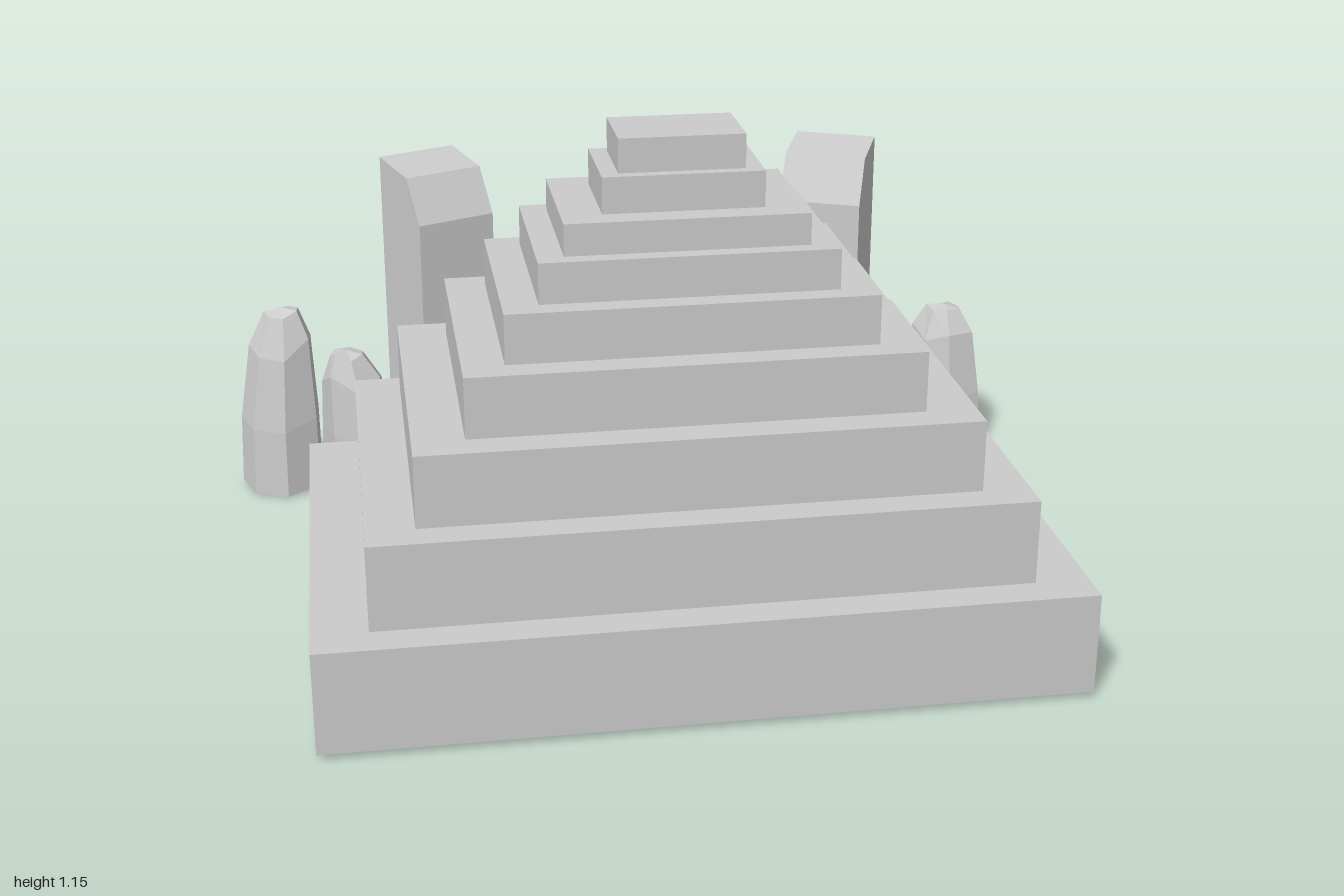
import * as THREE from 'three';

const mat = new THREE.MeshStandardMaterial({ color: 0xcccccc, flatShading: true, side: THREE.DoubleSide });

function add(parent, name, geometry, x = 0, y = 0, z = 0, turn = 0) {
  const mesh = new THREE.Mesh(geometry, mat);
  mesh.name = name;
  mesh.position.set(x, y, z);
  mesh.rotation.y = turn;
  parent.add(mesh);
  return mesh;
}

// Standing stone: side profile with a chamfered front top, extruded across its width
function stoneGeometry(size, height, chamfer) {
  const h = size / 2;
  const shape = new THREE.Shape([
    [-h, 0], [h, 0], [h, height - chamfer * 1.2], [h * 0.4, height - chamfer * 0.2], [-h, height],
  ].map(([d, y]) => new THREE.Vector2(d, y)));
  const geo = new THREE.ExtrudeGeometry(shape, { depth: size, bevelEnabled: false });
  geo.translate(0, 0, -h);
  geo.rotateY(-Math.PI / 2); // profile depth becomes +z
  return geo;
}

function seeded(seed) {
  let s = seed * 7919 + 17;
  return () => (s = (s * 16807) % 2147483647) / 2147483647;
}

// Boulder: a tapering seven-sided lathe, open below, with each ring shifted irregularly
function rockGeometry(seed, radius, height, leanX, leanZ) {
  const rand = seeded(seed);
  rand();
  const sides = 7;
  const rings = [[1, 0], [0.96, 0.38], [0.76, 0.8], [0.42, 0.98], [0, 1]];
  const geo = new THREE.LatheGeometry(
    rings.map(([r, y]) => new THREE.Vector2(r * radius, y * height)), sides, seed);
  const sideScale = Array.from({ length: sides }, () => 0.88 + 0.14 * rand());
  const sideDrop = Array.from({ length: sides }, () => rand() - 0.6);
  const pos = geo.attributes.position;
  for (let i = 0; i < pos.count; i++) {
    const side = Math.floor(i / rings.length) % sides;
    const ring = i % rings.length;
    const t = rings[ring][1];
    const drop = [0.015, 0.05, 0.1, 0.03, 0][ring] * sideDrop[side];
    pos.setXYZ(i,
      pos.getX(i) * sideScale[side] + leanX * t * t,
      pos.getY(i) + (ring === 0 ? drop : drop * height * 1.6),
      pos.getZ(i) * sideScale[side] + leanZ * t * t);
  }
  geo.computeVertexNormals();
  return geo;
}

export function createModel() {
  const model = new THREE.Group();
  model.name = 'steppedPyramidShrine';
  const ground = 0.025;

  // Stepped pyramid: half width, half depth and top height of each tier
  const pyramid = new THREE.Group();
  pyramid.name = 'pyramid';
  model.add(pyramid);
  let base = ground;
  [
    [0.822, 0.535, 0.255], [0.703, 0.458, 0.445], [0.598, 0.388, 0.605],
    [0.487, 0.317, 0.74], [0.397, 0.257, 0.85], [0.32, 0.208, 0.94],
    [0.262, 0.172, 1.01], [0.174, 0.115, 1.09], [0.136, 0.09, 1.165],
  ].forEach(([hx, hz, top], i) => {
    const geo = new THREE.BoxGeometry(hx * 2, top - base, hz * 2);
    if (i === 0) { // the lowest tier is hollow, so drop its underside
      const index = Array.from(geo.index.array);
      index.splice(18, 6);
      geo.setIndex(index);
    }
    add(pyramid, `tier${i + 1}`, geo, 0.006, (base + top) / 2, 0.22);
    base = top;
  });

  // Tall and short standing stones behind the pyramid, turned inward
  const tall = stoneGeometry(0.2, 0.9, 0.105);
  const short = stoneGeometry(0.072, 0.595, 0.04);
  add(model, 'rightTallStone', tall, -0.475, ground, -0.45, 0.43);
  add(model, 'leftTallStone', tall, 0.505, ground, -0.45, -0.42);
  add(model, 'rightShortStone', short, -0.187, ground, -0.452, 0.55);
  add(model, 'leftShortStone', short, 0.2, ground, -0.452, -0.43);

  // Boulder wall: x, z, radius, height, lean x, lean z
  const rocks = new THREE.Group();
  rocks.name = 'boulderWall';
  model.add(rocks);
  [
    [-0.893, -0.64, 0.111, 0.48, 0.02, 0.0],
    [-0.685, -0.66, 0.115, 0.35, -0.03, 0.01],
    [-0.48, -0.645, 0.112, 0.43, 0.01, 0.0],
    [-0.28, -0.645, 0.112, 0.53, 0.0, 0.02],
    [0.285, -0.645, 0.114, 0.55, 0.01, 0.04],
    [0.475, -0.65, 0.11, 0.5, 0.0, 0.02],
    [0.68, -0.655, 0.112, 0.37, 0.0, 0.01],
    [0.897, -0.65, 0.11, 0.39, -0.01, 0.0],
  ].forEach(([x, z, r, h, lx, lz], i) =>
    add(rocks, `boulder${i + 1}`, rockGeometry(i + 1, r, h, lx, lz), x, 0.02, z));

  // Gate between the boulders: posts, thin panel and sagging ropes
  const gate = new THREE.Group();
  gate.name = 'gate';
  gate.position.set(-0.004, 0, -0.665);
  model.add(gate);
  for (const side of [-1, 1]) {
    add(gate, side > 0 ? 'leftGatePost' : 'rightGatePost',
      new THREE.CylinderGeometry(0.012, 0.012, 0.3, 8), side * 0.168, 0.175, 0);
  }
  add(gate, 'gatePanel', new THREE.BoxGeometry(0.336, 0.2, 0.008), 0, 0.13, 0);
  for (const [y, sag] of [[0.305, 0.035], [0.275, 0.035]]) {
    const rope = new THREE.QuadraticBezierCurve3(
      new THREE.Vector3(-0.168, y, 0), new THREE.Vector3(0, y - sag * 2, -0.006), new THREE.Vector3(0.168, y, 0));
    add(gate, 'gateRope', new THREE.TubeGeometry(rope, 14, 0.006, 6));
  }
  return model;
}
